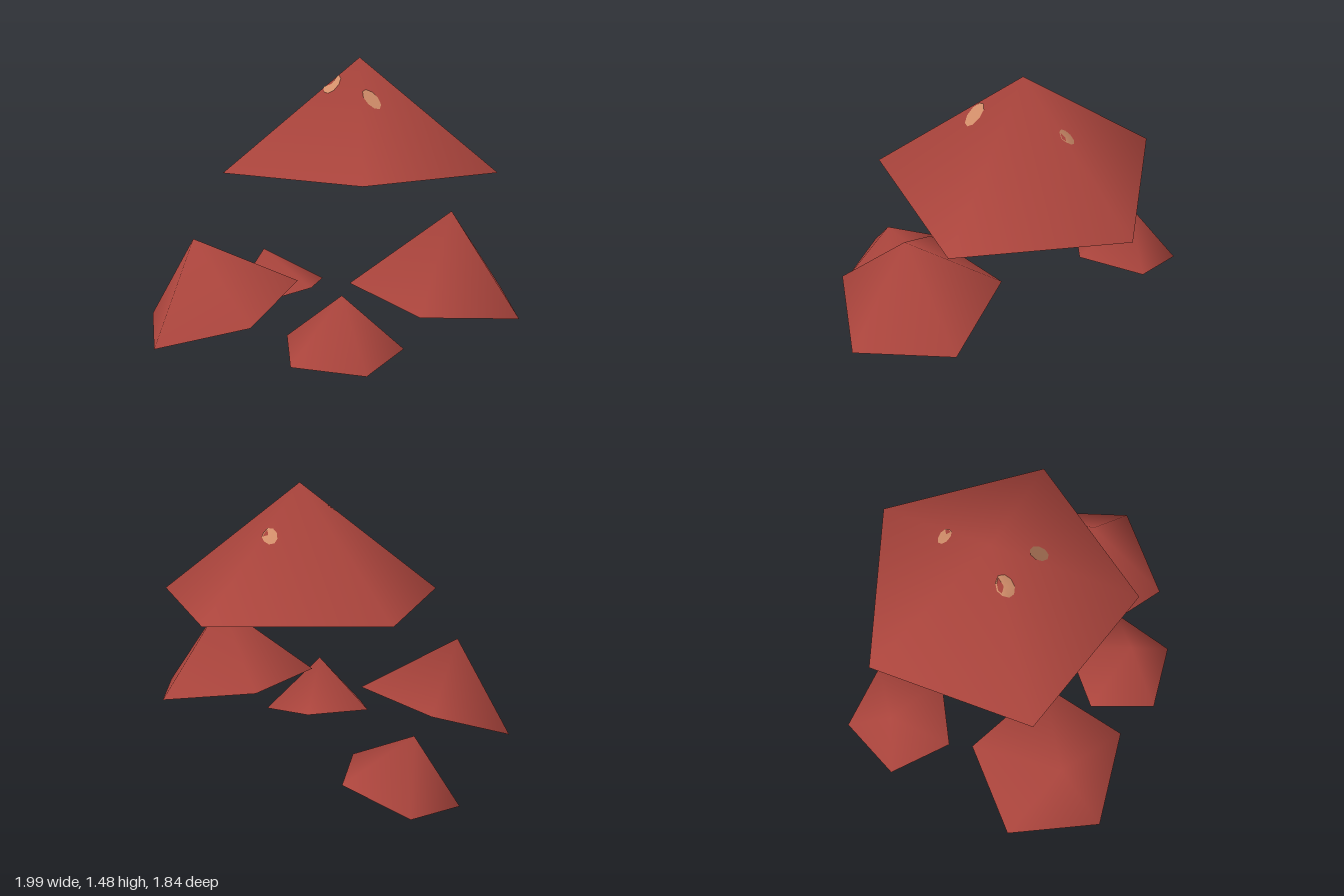
import * as THREE from 'three';

const SIDES = 5;
const V = (a) => new THREE.Vector3(...a);

// Hollow five-sided cap: the rim is one corner turned about the centre-to-tip axis
function capGeometry(tip, centre, corner) {
  const axis = V(tip).sub(V(centre)).normalize();
  const arm = V(corner).sub(V(centre));
  const radius = arm.length();
  arm.projectOnPlane(axis).setLength(radius);
  const points = [V(tip)];
  const index = [];
  for (let i = 0; i < SIDES; i++) {
    const turned = arm.clone().applyAxisAngle(axis, (i / SIDES) * Math.PI * 2);
    points.push(turned.add(V(centre)));
    index.push(0, i + 1, ((i + 1) % SIDES) + 1);
  }
  const geometry = new THREE.BufferGeometry().setFromPoints(points);
  geometry.setIndex(index);
  geometry.computeVertexNormals(); // shared corners give soft shading
  return geometry;
}

// Main cap measurements
const TIP = [-0.05, 1.49, -0.18];
const RADIUS = 0.745;
const BASE_Y = 0.905;

// Height of the main cap's surface above a point on the ground
function mainCapHeight(x, z) {
  const dx = x - TIP[0];
  const dz = z - TIP[2];
  let reach = 0;
  for (let i = 0; i < SIDES; i++) {
    const a = Math.PI / 2 + (i / SIDES) * Math.PI * 2; // face directions
    reach = Math.max(reach, dx * Math.cos(a) + dz * Math.sin(a));
  }
  const inradius = RADIUS * Math.cos(Math.PI / SIDES);
  return TIP[1] - (reach / inradius) * (TIP[1] - BASE_Y);
}

// Spot draped on the main cap, lifted slightly off its surface
function spotGeometry(x, z, rx, rz, lift) {
  const geometry = new THREE.CircleGeometry(1, 9);
  geometry.rotateX(-Math.PI / 2);
  geometry.scale(rx, 1, rz);
  const p = geometry.attributes.position;
  for (let i = 0; i < p.count; i++) {
    const px = x + p.getX(i);
    const pz = z + p.getZ(i);
    p.setXYZ(i, px, mainCapHeight(px, pz) + lift, pz);
  }
  geometry.computeVertexNormals();
  return geometry;
}

export function createModel() {
  const group = new THREE.Group();
  const capRed = new THREE.MeshStandardMaterial({ color: 0xaa443c, side: THREE.DoubleSide });
  capRed.name = 'capRed';
  const spotTan = new THREE.MeshStandardMaterial({ color: 0xd28e6a, side: THREE.DoubleSide });
  spotTan.name = 'spotTan';

  const add = (name, geometry, material) => {
    const mesh = new THREE.Mesh(geometry, material);
    mesh.name = name;
    group.add(mesh);
  };

  // Caps: tip, rim centre, one rim corner
  const caps = {
    mainCap: [TIP, [TIP[0], BASE_Y, TIP[2]], [TIP[0], BASE_Y, TIP[2] - RADIUS]],
    leftCap: [[0.61, 0.75, -0.03], [0.544, 0.325, -0.021], [0.99, 0.265, -0.04]],
    frontRightCap: [[-0.51, 0.59, 0.63], [-0.454, 0.215, 0.512], [-0.52, 0.085, 0.92]],
    frontLeftCap: [[0.31, 0.38, 0.485], [0.278, 0.098, 0.452], [-0.03, 0.13, 0.48]],
    backRightCap: [[-0.812, 0.36, -0.297], [-0.737, 0.098, -0.317], [-1.0, 0.005, -0.18]],
  };
  for (const [name, points] of Object.entries(caps)) add(name, capGeometry(...points), capRed);

  // Spots, shown on the outer and inner faces of the main cap
  const spots = [
    [-0.125, -0.035, 0.045, 0.048],
    [0.13, -0.03, 0.05, 0.045],
    [-0.077, -0.455, 0.04, 0.035],
  ];
  for (const spot of spots) {
    add('spotOutside', spotGeometry(...spot, 0.004), spotTan);
    add('spotInside', spotGeometry(...spot, -0.004), spotTan);
  }
  return group;
}
